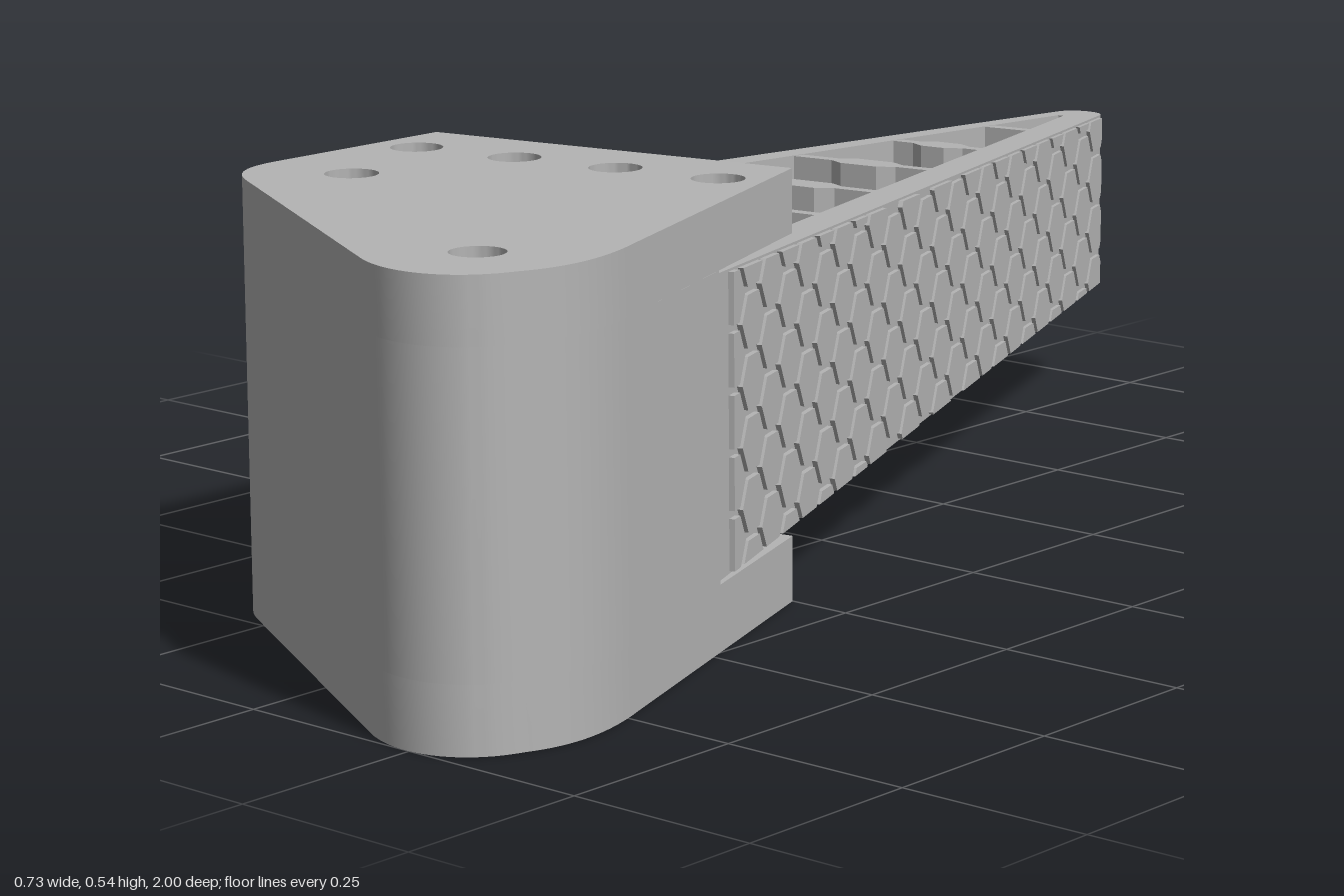
import * as THREE from 'three';
import { toCreasedNormals, mergeGeometries } from 'three/addons/utils/BufferGeometryUtils.js';

const MID = 0.273; // mid height of the finger
const half = z => 0.125 + 0.041 * (z + 1); // finger half height shrinks towards the tip

// Extrude a plan shape (x, z) upward from y0 to y1
function slab(shape, y0, y1) {
  const g = new THREE.ExtrudeGeometry(shape, { depth: y1 - y0, bevelEnabled: false, curveSegments: 20 });
  g.rotateX(Math.PI / 2);
  g.translate(0, y1, 0);
  return g;
}

// Plan slab whose height follows the finger taper
function tapered(shape, scale = 1) {
  const g = slab(shape, -1, 1);
  const p = g.attributes.position;
  for (let i = 0; i < p.count; i++) p.setY(i, MID + p.getY(i) * half(p.getZ(i)) * scale);
  return g;
}

// Rounded plan of the base, with its straight front edge and through holes
function baseShape(left, right, holes) {
  const s = new THREE.Shape();
  s.moveTo(...left);
  s.lineTo(...right);
  s.lineTo(0.338, 0.72);
  s.bezierCurveTo(0.374, 0.81, 0.374, 0.87, 0.35, 0.92);
  s.bezierCurveTo(0.325, 1.0, 0.245, 1.02, 0.17, 0.98);
  s.lineTo(-0.275, 0.735);
  s.bezierCurveTo(-0.32, 0.71, -0.345, 0.68, -0.345, 0.62);
  s.closePath();
  for (const [x, z] of holes) {
    s.holes.push(new THREE.Path().absarc(x, z, 0.033, 0, Math.PI * 2, true));
  }
  return s;
}

// Cross rib from a to b with a thicker pad between fractions t0 and t1
function ribShape(a, b, t0, t1, pad) {
  const A = new THREE.Vector2(...a), B = new THREE.Vector2(...b);
  const n = B.clone().sub(A).normalize();
  n.set(-n.y, n.x);
  const ramp = 0.022 / A.distanceTo(B), thin = 0.01;
  const side = [[0, thin], [t0 - ramp, thin], [t0, pad], [t1, pad], [t1 + ramp, thin], [1, thin]];
  const at = (t, w) => A.clone().lerp(B, t).addScaledVector(n, w);
  return new THREE.Shape([
    ...side.map(([t, w]) => at(t, w)),
    ...side.slice().reverse().map(([t, w]) => at(t, -w)),
  ]);
}

// Keep the part of a polygon where f(point) >= 0 (f is linear)
function clip(poly, f) {
  const out = [];
  poly.forEach((p, i) => {
    const q = poly[(i + 1) % poly.length], a = f(p), b = f(q);
    if (a >= 0) out.push(p);
    if ((a >= 0) !== (b >= 0)) out.push(p.clone().lerp(q, a / (a - b)));
  });
  return out;
}

// Raised hexagon tiles on a wall running in plan from a to b, outward on its right-hand side
function hexTiles(a, b) {
  const A = new THREE.Vector3(a[0], MID, a[1]), B = new THREE.Vector3(b[0], MID, b[1]);
  const L = A.distanceTo(B), dir = B.clone().sub(A).normalize();
  const up = new THREE.Vector3(0, 1, 0), out = dir.clone().cross(up);
  const limit = u => half(A.z + dir.z * u) - 0.003;
  const pitch = 0.075, step = pitch * 0.866, R = 0.0375, parts = [];
  for (let i = 0; i * step < L + R; i++) {
    for (let j = -3; j <= 3; j++) {
      const u = i * step, v = (j + (i % 2) / 2) * pitch;
      let poly = [];
      for (let k = 0; k < 6; k++) {
        const t = k * Math.PI / 3;
        poly.push(new THREE.Vector2(u + R * Math.cos(t), v + R * Math.sin(t)));
      }
      for (const f of [p => p.x, p => L - p.x, p => limit(p.x) - p.y, p => limit(p.x) + p.y]) poly = clip(poly, f);
      if (poly.length < 3 || Math.abs(THREE.ShapeUtils.area(poly)) < 0.0002) continue;
      parts.push(new THREE.ExtrudeGeometry(new THREE.Shape(poly), { depth: 0.016, bevelEnabled: false }));
    }
  }
  const g = mergeGeometries(parts);
  g.translate(0, 0, -0.009);
  g.applyMatrix4(new THREE.Matrix4().makeBasis(dir, up, out).setPosition(A));
  return g;
}

export function createModel() {
  const model = new THREE.Group();
  model.name = 'taperedFingerOnBase';
  const grey = new THREE.MeshStandardMaterial({ color: 0xb4b4b4 });
  grey.name = 'grey';
  const add = (name, geo, parent = model) => {
    const m = new THREE.Mesh(toCreasedNormals(geo, 0.5), grey);
    m.name = name;
    parent.add(m);
  };

  // Base: two plates with a solid block between, leaving a slot for the finger
  const base = new THREE.Group();
  base.name = 'base';
  model.add(base);
  const rear = [[-0.215, 0.62], [0.24, 0.87]];
  const row = [[-0.285, 0.44], [-0.143, 0.413], [0, 0.386], [0.143, 0.36]];
  const plate = baseShape([-0.345, 0.345], [0.165, 0.25], [...rear, ...row]);
  add('bottomPlate', slab(plate, 0, 0.083), base);
  add('topPlate', slab(plate, 0.462, 0.542), base);
  add('middleBlock', slab(baseShape([-0.345, 0.48], [0.25, 0.48], rear), 0.083, 0.462), base);

  // Finger: two converging walls joined by a rounded tip
  const finger = new THREE.Group();
  finger.name = 'finger';
  model.add(finger);
  const frame = new THREE.Shape();
  frame.moveTo(-0.344, 0.48);
  frame.lineTo(-0.361, -0.965);
  frame.absarc(-0.327, -0.965, 0.034, Math.PI, Math.PI * 2 - 0.36, false);
  frame.lineTo(0.249, 0.48);
  frame.lineTo(0.194, 0.48);
  frame.lineTo(-0.326, -0.93);
  frame.lineTo(-0.335, -0.93);
  frame.lineTo(-0.293, 0.48);
  frame.closePath();
  add('fingerWalls', tapered(frame), finger);

  // Cross ribs: start, end, pad range, pad half thickness
  const ribs = [
    [[-0.335, -0.76], [-0.25, -0.778], 0.45, 0.55, 0.01],
    [[-0.33, -0.545], [-0.17, -0.572], 0.36, 0.58, 0.025],
    [[-0.325, -0.323], [-0.1, -0.367], 0.38, 0.62, 0.025],
    [[-0.32, -0.103], [-0.02, -0.158], 0.35, 0.68, 0.025],
    [[-0.315, 0.108], [0.06, 0.043], 0.29, 0.7, 0.025],
    [[-0.31, 0.328], [0.14, 0.253], 0.2, 0.66, 0.027],
  ];
  ribs.forEach((r, i) => add('rib' + (i + 1), tapered(ribShape(...r), 0.995), finger));

  // Honeycomb grip on both outer walls
  add('leftGrip', hexTiles([0.238, 0.45], [-0.295, -0.972]), finger);
  add('rightGrip', hexTiles([-0.361, -0.965], [-0.3444, 0.45]), finger);
  return model;
}
